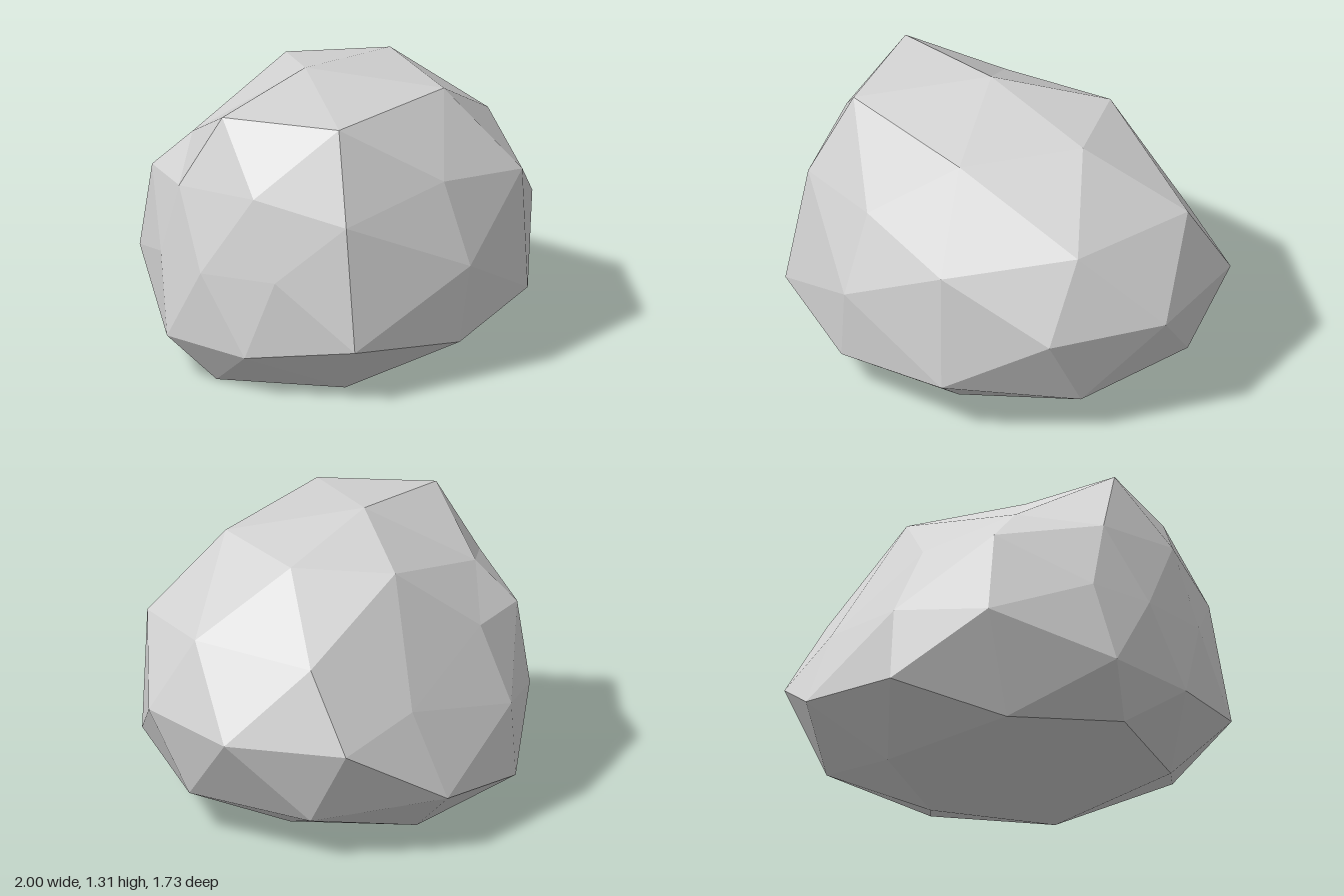
import * as THREE from 'three';

// Horizontal layers of the boulder:
// [height on the unit icosphere, model y, corners as x, z and an optional rise or dent in y]
const CENTRE = [-0.2, -0.05];
const LAYERS = [
  [1, 1.31, [[-0.2, -0.05]]],
  [0.851, 1.235, [[0.43, -0.05], [-0.8, -0.06]]],
  [0.809, 1.22, [[0.165, 0.46], [-0.585, 0.44], [0.168, -0.444, -0.02], [-0.54, -0.43, -0.2]]],
  [0.526, 0.92, [[-0.17, 0.72], [-0.19, -0.675, -0.045]]],
  [0.5, 0.925, [[0.75, 0.26], [0.78, -0.374], [-0.906, 0.2], [-0.906, -0.225, -0.02]]],
  [0.309, 0.84, [[0.37, 0.75], [-0.725, 0.59, -0.02], [0.41, -0.685, -0.18], [-0.6, -0.615]]],
  [0, 0.56, [[1, -0.05], [0.8, 0.475], [0.826, -0.59], [-0.163, 0.865, -0.015],
    [-0.18, -0.845, -0.025], [-0.93, 0.34], [-0.93, -0.31, 0.02], [-1, -0.03, -0.01]]],
  [-0.309, 0.27, [[0.39, 0.765], [-0.778, 0.68, -0.013], [0.39, -0.86], [-0.62, -0.67, 0.18]]],
  [-0.5, 0.19, [[0.783, 0.27], [0.78, -0.373], [-0.985, 0.21], [-0.995, -0.225, 0.02]]],
  [-0.526, 0.19, [[-0.21, 0.84], [-0.18, -0.868]]],
  [-0.809, 0, [[0.17, 0.47], [-0.59, 0.48], [0.17, -0.56], [-0.535, -0.48]]],
  [-0.851, 0, [[0.436, -0.05], [-0.855, -0.05]]],
  [-1, 0, [[-0.2, -0.05]]],
];

// Moves an icosphere corner to the layer corner lying in the same direction
function weather(v) {
  const gap = (layer) => Math.abs(layer[0] - v.y);
  const [, y, corners] = LAYERS.reduce((a, b) => (gap(b) < gap(a) ? b : a));
  const facing = ([x, z]) => {
    const dx = x - CENTRE[0], dz = z - CENTRE[1];
    return (dx * v.x + dz * v.z) / (Math.hypot(dx, dz) || 1);
  };
  const [x, z, rise = 0] = corners.reduce((a, b) => (facing(b) > facing(a) ? b : a));
  return v.set(x, y + rise, z);
}

export function createModel() {
  const group = new THREE.Group();
  group.name = 'rock';
  const stone = new THREE.MeshStandardMaterial({ color: 0xd3d3d3 });
  stone.name = 'stone grey';

  // Faceted boulder with a flat underside
  const geometry = new THREE.IcosahedronGeometry(1, 1);
  const position = geometry.attributes.position;
  const v = new THREE.Vector3();
  for (let i = 0; i < position.count; i++) {
    weather(v.fromBufferAttribute(position, i));
    position.setXYZ(i, v.x, v.y, v.z);
  }
  geometry.computeVertexNormals(); // unshared corners give flat facets

  const boulder = new THREE.Mesh(geometry, stone);
  boulder.name = 'boulder';
  group.add(boulder);
  return group;
}
